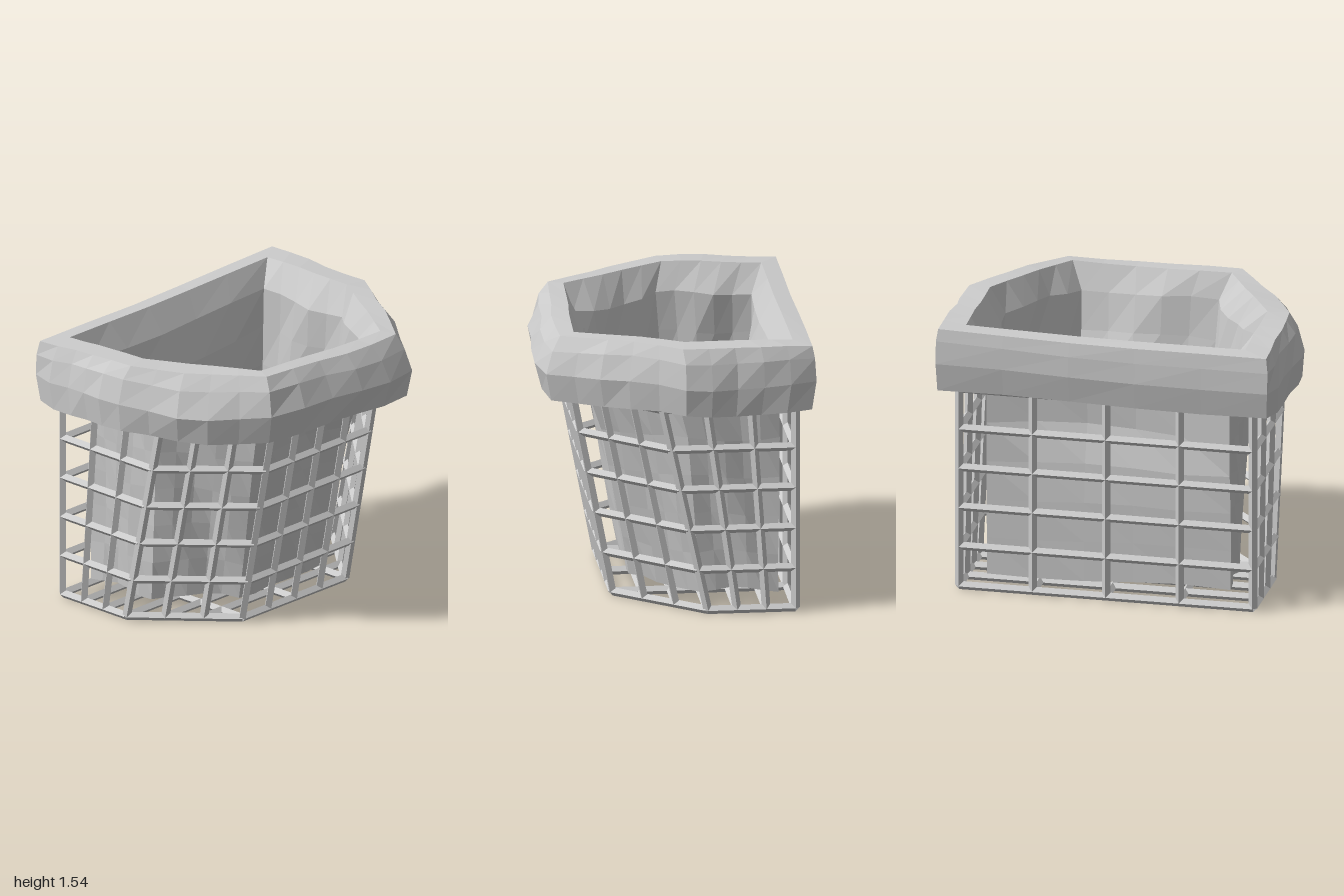
import * as THREE from 'three';
import { mergeGeometries } from 'three/addons/utils/BufferGeometryUtils.js';

const material = new THREE.MeshStandardMaterial({ color: 0xcccccc, flatShading: true, side: THREE.DoubleSide });
const V = (x, y, z) => new THREE.Vector3(x, y, z);
const mix = THREE.MathUtils.lerp;

// Wire of diamond section, one of its corners turned towards `normal`
function wire(a, b, normal) {
  const dir = b.clone().sub(a);
  const geo = new THREE.CylinderGeometry(0.024, 0.024, dir.length(), 4);
  dir.normalize();
  const side = dir.clone().cross(normal).normalize();
  const out = side.clone().cross(dir);
  geo.applyMatrix4(new THREE.Matrix4().makeBasis(side, dir, out));
  const mid = a.clone().add(b).multiplyScalar(0.5);
  return geo.translate(mid.x, mid.y, mid.z);
}

function mesh(name, geo) {
  const m = new THREE.Mesh(geo, material);
  m.name = name;
  return m;
}

// Basket: six-cornered plan, straight in z, widening in +x towards the top
function makeBasket() {
  const bottom = 0.024, top = 1.165, rows = 5;
  const zs = [0.845, 0.845, 0.43, -0.38, -0.795, -0.795];
  const low = [-0.63, -0.15, 0.325, 0.325, -0.15, -0.63];
  const high = [-0.63, 0.095, 0.545, 0.545, 0.095, -0.63];
  const cells = [3, 3, 4, 3, 3, 4];
  const stations = [];
  cells.forEach((n, s) => {
    const e = (s + 1) % 6;
    const normal = V(zs[s] - zs[e], 0, low[e] - low[s]).normalize();
    for (let i = 0; i < n; i++) {
      const t = i / n;
      stations.push({ z: mix(zs[s], zs[e], t), x0: mix(low[s], low[e], t), x1: mix(high[s], high[e], t), normal });
    }
  });
  const at = (s, k) => V(mix(s.x0, s.x1, k), mix(bottom, top, k), s.z);
  const uprights = [], hoops = [], floor = [];
  stations.forEach((s, i) => {
    const next = stations[(i + 1) % stations.length];
    uprights.push(wire(at(s, 0), at(s, 1), s.normal));
    for (let r = 0; r <= rows; r++) hoops.push(wire(at(s, r / rows), at(next, r / rows), s.normal));
  });
  // Floor lattice
  const up = V(0, 1, 0);
  for (const z of [0.43, 0.025, -0.38]) floor.push(wire(V(-0.63, bottom, z), V(0.325, bottom, z), up));
  for (const s of stations.slice(1, 6)) floor.push(wire(V(s.x0, bottom, s.z), V(s.x0, bottom, 0.05 - s.z), up));
  const g = new THREE.Group();
  g.name = 'wireBasket';
  g.add(mesh('uprights', mergeGeometries(uprights)), mesh('hoops', mergeGeometries(hoops)), mesh('floorLattice', mergeGeometries(floor)));
  return g;
}

// One level of cloth: x and half depth at the flat wall, middle and outer corners,
// then outward bulge, inward dent of the flat wall, and crumple
function level(y, [wallX, midX, outerX], [wallZ, midZ, outerZ], bulge, dent, crumple) {
  const skew = y > 1.16 ? 0.045 : 0.01;
  return {
    y, crumple,
    x: [wallX, midX, outerX, outerX + skew, midX + skew, wallX],
    z: [wallZ, midZ, outerZ, -outerZ, -midZ, -wallZ].map((z) => z + 0.02),
    push: [bulge * 0.3, bulge, bulge * 0.8, bulge * 0.2, 0, -dent],
  };
}

// Skin the levels, crumpling the cloth with slow waves around the ring
function cloth(levels) {
  const n = 5, ring = 6 * n, pos = [], index = [];
  levels.forEach((L, row) => {
    for (let i = 0; i < ring; i++) {
      const s = Math.floor(i / n), e = (s + 1) % 6, t = (i % n) / n;
      const dx = L.x[e] - L.x[s], dz = L.z[e] - L.z[s], len = Math.hypot(dx, dz) || 1;
      const wave = L.crumple * Math.sin(i * 1.9 + L.y * 5) * (s === 5 || t === 0 ? 0.3 : 1);
      const push = L.push[s] * Math.sin(Math.PI * t) + wave;
      const lift = L.crumple * Math.sin(i * 0.9 + L.y * 3) + (L.y > 1.4 ? 0.012 * Math.sin(i * 0.42 - 1) : 0);
      pos.push(mix(L.x[s], L.x[e], t) - (dz / len) * push, L.y + lift, mix(L.z[s], L.z[e], t) + (dx / len) * push);
      if (row === 0) continue;
      const b = row * ring + i, c = row * ring + ((i + 1) % ring);
      index.push(b - ring, c - ring, c, b - ring, c, b);
    }
  });
  const geo = new THREE.BufferGeometry();
  geo.setAttribute('position', new THREE.Float32BufferAttribute(pos, 3));
  geo.setIndex(index);
  geo.computeVertexNormals();
  return geo;
}

export function createModel() {
  const rim = level(1.53, [-0.62, -0.07, 0.5], [0.78, 0.78, 0.45], 0, 0, 0.004);
  // Cuff folded over the basket's top edge
  const cuff = [
    level(1.175, [-0.65, 0.07, 0.52], [0.85, 0.84, 0.42], 0, 0, 0),
    level(1.165, [-0.71, -0.06, 0.63], [0.92, 0.97, 0.52], 0.06, 0, 0.012),
    level(1.32, [-0.737, -0.06, 0.66], [0.925, 0.985, 0.535], 0.07, 0, 0.015),
    level(1.45, [-0.73, -0.06, 0.625], [0.925, 0.95, 0.515], 0.04, 0, 0.015),
    level(1.525, [-0.715, -0.05, 0.58], [0.915, 0.9, 0.49], 0.02, 0, 0.008),
    rim,
  ];
  // Bag hanging inside, narrowing downwards with the flat wall dented near the top
  const liner = [rim];
  const steps = 6;
  for (let i = 0; i <= steps; i++) {
    const k = i / steps, y = mix(1.38, 0.085, k);
    const dent = 0.1 * Math.exp(-(((y - 1.05) / 0.25) ** 2));
    liner.push(level(y, [-0.555, mix(-0.03, -0.14, k), mix(0.45, 0.22, k)], [0.68, mix(0.7, 0.64, k), mix(0.39, 0.33, k)], -0.03, dent, 0.016));
  }
  // Uneven bag floor, closed to a point
  liner.push(level(0.14, [-0.33, -0.16, 0.02], [0.3, 0.28, 0.16], 0, 0, 0.015));
  liner.push(level(0.13, [-0.16, -0.16, -0.17], [0, 0, 0], 0, 0, 0));

  const model = new THREE.Group();
  model.name = 'linedWireBin';
  model.add(makeBasket(), mesh('foldedCuff', cloth(cuff)), mesh('bagLiner', cloth(liner)));
  return model;
}
